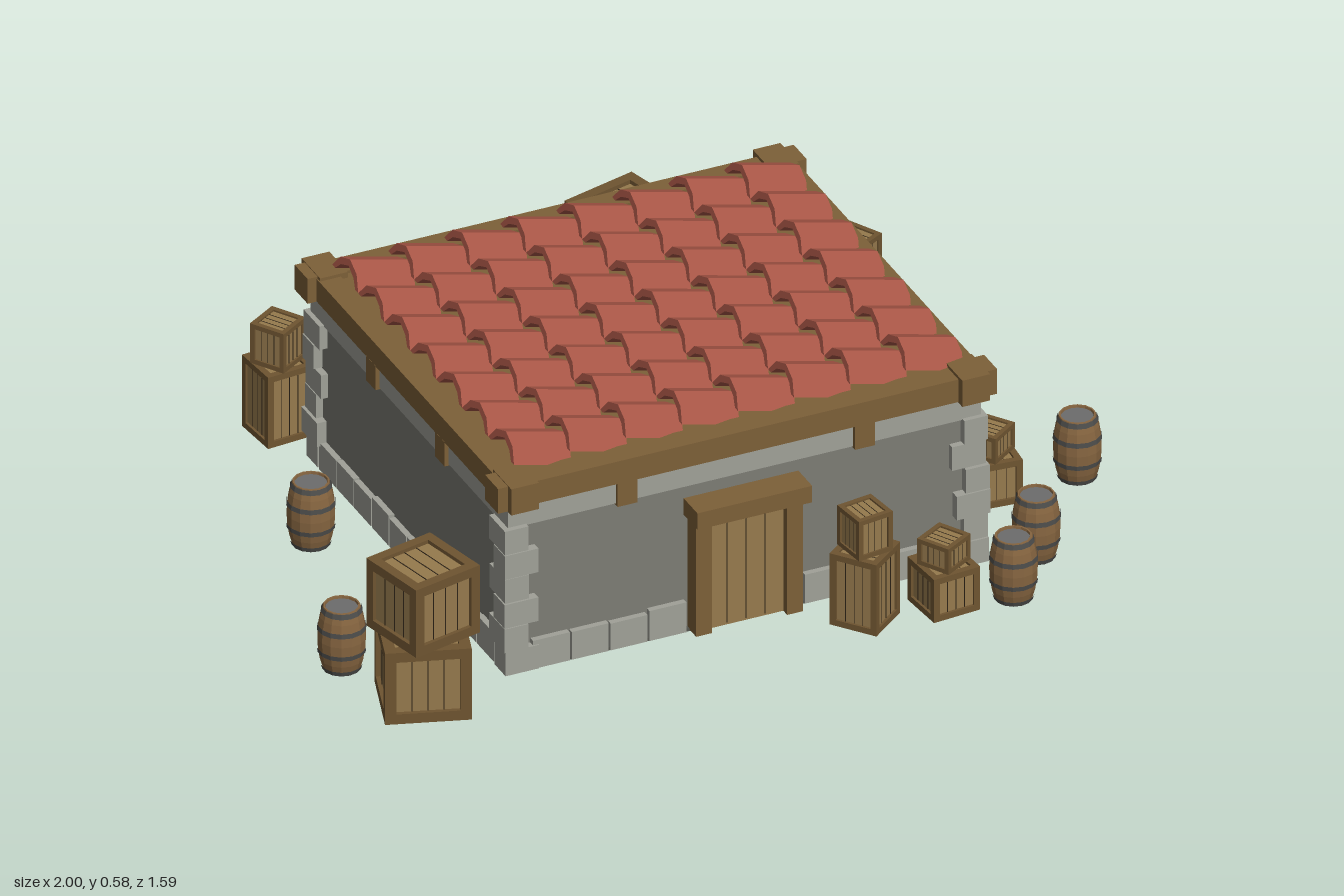
import * as THREE from 'three';

const mat = (color, side = THREE.FrontSide) =>
  new THREE.MeshStandardMaterial({ color, side, flatShading: true });
const M = {
  wall: mat(0x7c7c74), stone: mat(0xa0a198), floor: mat(0x55564f), wood: mat(0x7d6038),
  plank: mat(0x967a4d), frame: mat(0x6f5531), dark: mat(0x2e2417), tile: mat(0xa85646),
  barrel: mat(0x866540), hoop: mat(0x4c4c4a), lid: mat(0x6c6c6c),
};
const CX = -0.015, CZ = 0.02;   // centre of the house
const HX = 0.59, HZ = 0.525;    // half size of its walls

function add(parent, name, geo, material, x = 0, y = 0, z = 0) {
  const mesh = new THREE.Mesh(geo, material);
  mesh.name = name;
  mesh.position.set(x, y, z);
  parent.add(mesh);
  return mesh;
}
const box = (parent, name, material, w, h, d, x, y, z) =>
  add(parent, name, new THREE.BoxGeometry(w, h, d), material, x, y, z);

// Small repeatable variation
let seed = 7;
const vary = (a) => {
  seed = (seed * 16807) % 2147483647;
  return (seed / 2147483647 - 0.5) * 2 * a;
};

// Crate: recessed panels, an edge frame and plank gaps on every side
function crate(w, h) {
  const g = new THREE.Group();
  g.name = 'crate';
  const t = w * 0.13, p = w - t * 0.8;
  box(g, 'panels', M.plank, p, h - t * 0.8, p, 0, h / 2, 0);
  for (const a of [-1, 1]) {
    for (const b of [-1, 1]) {
      const o = (w - t) / 2;
      box(g, 'cornerPost', M.frame, t, h, t, a * o, h / 2, b * o);
      box(g, 'railX', M.frame, w - 2 * t, t, t, 0, h / 2 + a * (h - t) / 2, b * o);
      box(g, 'railZ', M.frame, t, t, w - 2 * t, b * o, h / 2 + a * (h - t) / 2, 0);
    }
  }
  // Gaps between planks
  const s = w * 0.012, inner = w - 2 * t;
  for (const k of [-0.25, 0, 0.25]) {
    const x = k * inner;
    box(g, 'sideGapX', M.dark, s, h - 2 * t, p + 0.002, x, h / 2, 0);
    box(g, 'sideGapZ', M.dark, p + 0.002, h - 2 * t, s, 0, h / 2, x);
    box(g, 'lidGap', M.dark, s, h - t * 0.8 + 0.002, inner, x, h / 2, 0);
  }
  return g;
}

// Two crates, the upper one turned; each is [width, height, angle]
function stack(parent, x, z, lower, upper) {
  const g = new THREE.Group();
  g.name = 'crateStack';
  g.position.set(x, 0.005, z);
  let y = 0;
  for (const [w, h, angle] of [lower, upper]) {
    const c = crate(w, h);
    c.position.y = y;
    c.rotation.y = THREE.MathUtils.degToRad(angle);
    g.add(c);
    y += h;
  }
  parent.add(g);
}

// Barrel: bulging body, metal hoops and recessed lids
const barrelRadius = (y) => 0.057 - 0.014 * (y / 0.083) ** 2;
function barrel(parent, x, z) {
  const g = new THREE.Group();
  g.name = 'barrel';
  g.position.set(x, 0.093, z);
  const profile = [[0.038, -0.076], [0.039, -0.083]];
  for (let i = 0; i <= 6; i++) {
    const y = -0.083 + i * 0.166 / 6;
    profile.push([barrelRadius(y), y]);
  }
  profile.push([0.039, 0.083], [0.038, 0.076]);
  add(g, 'staves', new THREE.LatheGeometry(profile.map((p) => new THREE.Vector2(...p)), 14), M.barrel);
  for (const y of [-0.076, -0.03, 0.03, 0.076]) {
    const r = (dy) => barrelRadius(y + dy) + 0.002;
    add(g, 'hoop', new THREE.CylinderGeometry(r(0.006), r(-0.006), 0.012, 14, 1, true), M.hoop, 0, y);
  }
  add(g, 'lids', new THREE.CylinderGeometry(0.04, 0.04, 0.154, 14), M.lid);
  parent.add(g);
}

// Faceted arched roof tile, extruded along its length
function tileGeometry() {
  const s = new THREE.Shape();
  const outer = [[-0.07, 0], [-0.044, 0.034], [0, 0.05], [0.044, 0.034], [0.07, 0]];
  const inner = [[0.054, 0], [0.034, 0.02], [0, 0.034], [-0.034, 0.02], [-0.054, 0]];
  s.setFromPoints([...outer, ...inner].map((p) => new THREE.Vector2(...p)));
  const geo = new THREE.ExtrudeGeometry(s, { depth: 0.15, bevelEnabled: false });
  return geo.translate(0, 0, -0.075).rotateY(Math.PI / 2);
}

function house() {
  const g = new THREE.Group();
  g.name = 'house';
  g.position.set(CX, 0, CZ);
  box(g, 'walls', M.wall, 2 * HX, 0.48, 2 * HZ, 0, 0.255, 0);
  box(g, 'floor', M.floor, 2 * HX + 0.02, 0.008, 2 * HZ + 0.02, 0, 0.012, 0);
  box(g, 'stoneBand', M.stone, 2 * HX + 0.016, 0.06, 2 * HZ + 0.016, 0, 0.425, 0);

  // Corner stones, alternately long on one side and then the other
  for (const sx of [-1, 1]) {
    for (const sz of [-1, 1]) {
      for (let i = 0; i < 6; i++) {
        const w = i % 2 ? 0.06 : 0.085, d = i % 2 ? 0.085 : 0.06;
        const out = 0.02 + vary(0.005);
        box(g, 'cornerStone', M.stone, w, 0.063, d,
          sx * (HX + out - w / 2), 0.042 + i * 0.065, sz * (HZ + out - d / 2));
      }
    }
  }

  // Base course on each side; the front leaves room for the door
  const course = (half, place) => {
    const n = Math.round(2 * half / 0.1), step = 2 * half / n;
    for (let i = 0; i < n; i++) place(-half + (i + 0.5) * step, step - 0.005, 0.075 + vary(0.006));
  };
  for (const s of [-1, 1]) {
    course(HX - 0.05, (x, w, h) => {
      if (s > 0 && Math.abs(x) < 0.14) return;
      box(g, 'baseStone', M.stone, w, h, 0.04, x, 0.01 + h / 2, s * (HZ - 0.005));
    });
    course(HZ - 0.05, (z, w, h) =>
      box(g, 'baseStone', M.stone, 0.04, h, w, s * (HX - 0.005), 0.01 + h / 2, z));
  }

  // Roof frame with crossing ends and short struts below
  for (const s of [-1, 1]) {
    box(g, 'longBeam', M.wood, 1.23, 0.06, 0.062, 0, 0.484, s * 0.515);
    box(g, 'sideBeam', M.wood, 0.055, 0.06, 1.06, s * 0.58, 0.484, 0);
    for (const t of [-1, 1]) {
      box(g, 'beamEnd', M.wood, 0.085, 0.066, 0.07, s * 0.588, 0.487, t * 0.515);
      box(g, 'beamEnd', M.wood, 0.07, 0.07, 0.1, s * 0.57, 0.487, t * 0.517);
      box(g, 'strut', M.wood, 0.05, 0.065, 0.04, s * 0.3, 0.423, t * (HZ - 0.002));
      box(g, 'strut', M.wood, 0.04, 0.065, 0.05, t * (HX - 0.002), 0.423, s * 0.187);
    }
  }
  box(g, 'roofDeck', M.wood, 1.16, 0.02, 1.0, 0, 0.497, 0);

  // Rows of overlapping tiles, each sloping down towards +x
  const geo = tileGeometry();
  for (let r = 0; r < 7; r++) {
    for (let c = 0; c < 8; c++) {
      const tile = add(g, 'roofTile', geo, M.tile, 0.005 + (c - 3.5) * 0.1415, 0.517, (r - 3) * 0.1405);
      tile.rotation.z = -0.25;
    }
  }

  // Door with posts, planks and lintel
  const dx = -0.005, dz = HZ + 0.012;
  box(g, 'door', M.plank, 0.24, 0.3, 0.03, dx, 0.163, dz);
  for (const s of [-1, 1]) box(g, 'doorPost', M.wood, 0.04, 0.305, 0.07, dx + s * 0.115, 0.165, dz);
  for (const k of [-1, 0, 1]) box(g, 'doorGap', M.dark, 0.002, 0.29, 0.002, dx + k * 0.048, 0.163, dz + 0.015);
  box(g, 'lintel', M.wood, 0.29, 0.044, 0.1, dx, 0.338, HZ + 0.025);
  return g;
}

export function createModel() {
  const model = new THREE.Group();
  model.name = 'storehouse';
  model.add(house());

  // Large crate stacks
  stack(model, 0.26, -0.675, [0.2, 0.19, -14], [0.2, 0.18, 15]);
  stack(model, -0.835, 0.57, [0.2, 0.19, -18], [0.185, 0.18, 13]);

  // Tall and low small stacks
  for (const [x, z, a, b] of [[-0.63, -0.655, 5, 32], [-0.425, -0.615, -6, 30],
    [0.725, -0.44, -5, 28], [0.235, 0.67, 38, 8]]) {
    stack(model, x, z, [0.12, 0.19, a], [0.092, 0.105, b]);
  }
  for (const [x, z, a, b] of [[0.725, 0.29, -5, 35], [0.425, 0.69, 5, 30]]) {
    stack(model, x, z, [0.122, 0.115, a], [0.088, 0.068, b]);
  }

  // Barrels
  for (const [x, z] of [[-0.775, -0.165], [-0.945, 0.365], [0.94, 0.31], [0.705, 0.59], [0.58, 0.735]]) {
    barrel(model, x, z);
  }
  return model;
}
